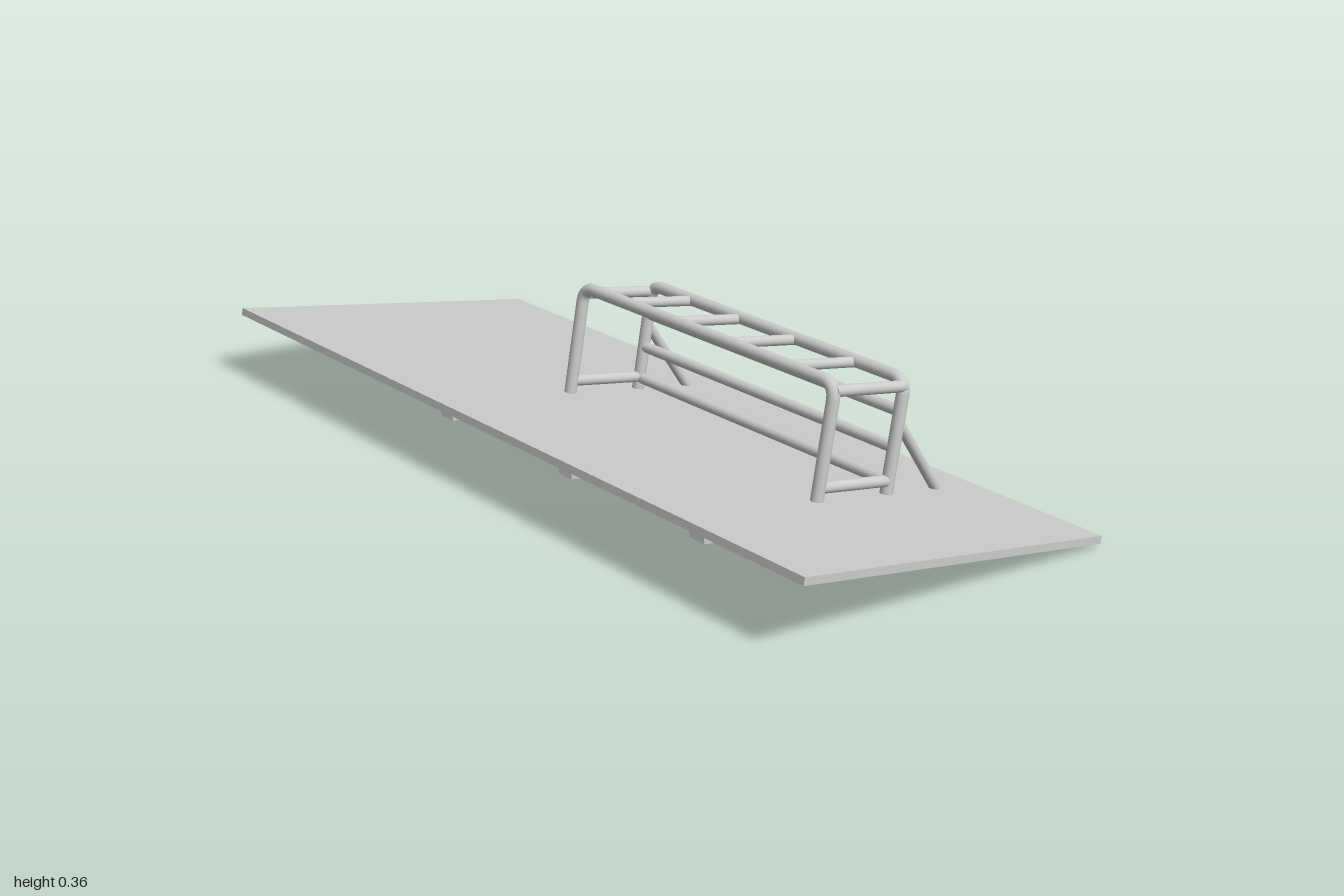
import * as THREE from 'three';

const material = new THREE.MeshStandardMaterial({ color: 0xcccccc });
const V = (x, y, z) => new THREE.Vector3(x, y, z);

const Z_BACK = -0.174, Z_FRONT = 0.642;   // planes of the two end frames
const X_LEFT = -0.048, X_RIGHT = 0.152;   // the two hoops, in board space
const TOP = 0.254, BEND = 0.035;          // hoop height and corner radius

function add(parent, name, geometry) {
  const mesh = new THREE.Mesh(geometry, material);
  mesh.name = name;
  parent.add(mesh);
  return mesh;
}

// Straight round bar between two points
function bar(parent, name, a, b, radius) {
  const mesh = add(parent, name, new THREE.CylinderGeometry(radius, radius, a.distanceTo(b), 24));
  mesh.position.copy(a).lerp(b, 0.5);
  mesh.quaternion.setFromUnitVectors(V(0, 1, 0), b.clone().sub(a).normalize());
}

function box(parent, name, w, h, d, x, y, z) {
  add(parent, name, new THREE.BoxGeometry(w, h, d)).position.set(x, y, z);
}

// Upside-down U: two posts and a top rail with rounded corners
function hoop(parent, name, x) {
  const path = new THREE.CurvePath();
  const f0 = V(x, TOP - BEND, Z_FRONT), f1 = V(x, TOP, Z_FRONT - BEND);
  const b1 = V(x, TOP, Z_BACK + BEND), b0 = V(x, TOP - BEND, Z_BACK);
  path.add(new THREE.LineCurve3(V(x, 0, Z_FRONT), f0));
  path.add(new THREE.QuadraticBezierCurve3(f0, V(x, TOP, Z_FRONT), f1));
  path.add(new THREE.LineCurve3(f1, b1));
  path.add(new THREE.QuadraticBezierCurve3(b1, V(x, TOP, Z_BACK), b0));
  path.add(new THREE.LineCurve3(b0, V(x, 0, Z_BACK)));
  add(parent, name, new THREE.TubeGeometry(path, 140, 0.014, 24));
}

export function createModel() {
  const model = new THREE.Group();
  model.name = 'railOnSlopedBoard';

  // Everything is built square to the board, then tilted
  const tilted = new THREE.Group();
  tilted.name = 'tiltedAssembly';
  tilted.position.y = 0.087;
  tilted.rotation.z = THREE.MathUtils.degToRad(-10);
  model.add(tilted);

  box(tilted, 'board', 0.838, 0.017, 2, 0, 0, 0);

  // Tubular frame
  const frame = new THREE.Group();
  frame.name = 'frame';
  tilted.add(frame);
  hoop(frame, 'leftHoop', X_LEFT);
  hoop(frame, 'rightHoop', X_RIGHT);

  // Rungs across the top
  for (const z of [-0.035, 0.131, 0.31, 0.494])
    bar(frame, 'topRung', V(X_LEFT, 0.251, z), V(X_RIGHT, 0.251, z), 0.0115);

  // End frames: upper and lower cross bars and a sloping brace
  for (const z of [Z_BACK, Z_FRONT]) {
    bar(frame, 'upperEndBar', V(X_LEFT, 0.239, z), V(X_RIGHT, 0.239, z), 0.0125);
    bar(frame, 'lowerEndBar', V(X_LEFT, 0.036, z), V(X_RIGHT, 0.036, z), 0.0125);
    bar(frame, 'brace', V(X_RIGHT, 0.163, z), V(0.305, 0.004, z), 0.0115);
  }

  // Long bars along the right side
  for (const y of [0.034, 0.108, 0.186])
    bar(frame, 'sideBar', V(X_RIGHT, y, Z_BACK), V(X_RIGHT, y, Z_FRONT), 0.0125);

  // L-shaped brackets under the board: strut x, foot depth, z
  for (const [x, y, z] of [[-0.261, -0.0836, 0.54], [-0.222, -0.1, 0.06], [-0.197, -0.1085, -0.42]]) {
    const bracket = new THREE.Group();
    bracket.name = 'bracket';
    tilted.add(bracket);
    box(bracket, 'bracketStrut', 0.011, -y, 0.045, x, y / 2, z);
    box(bracket, 'bracketFoot', 0.053, 0.011, 0.045, x + 0.023, y, z);
  }
  return model;
}
